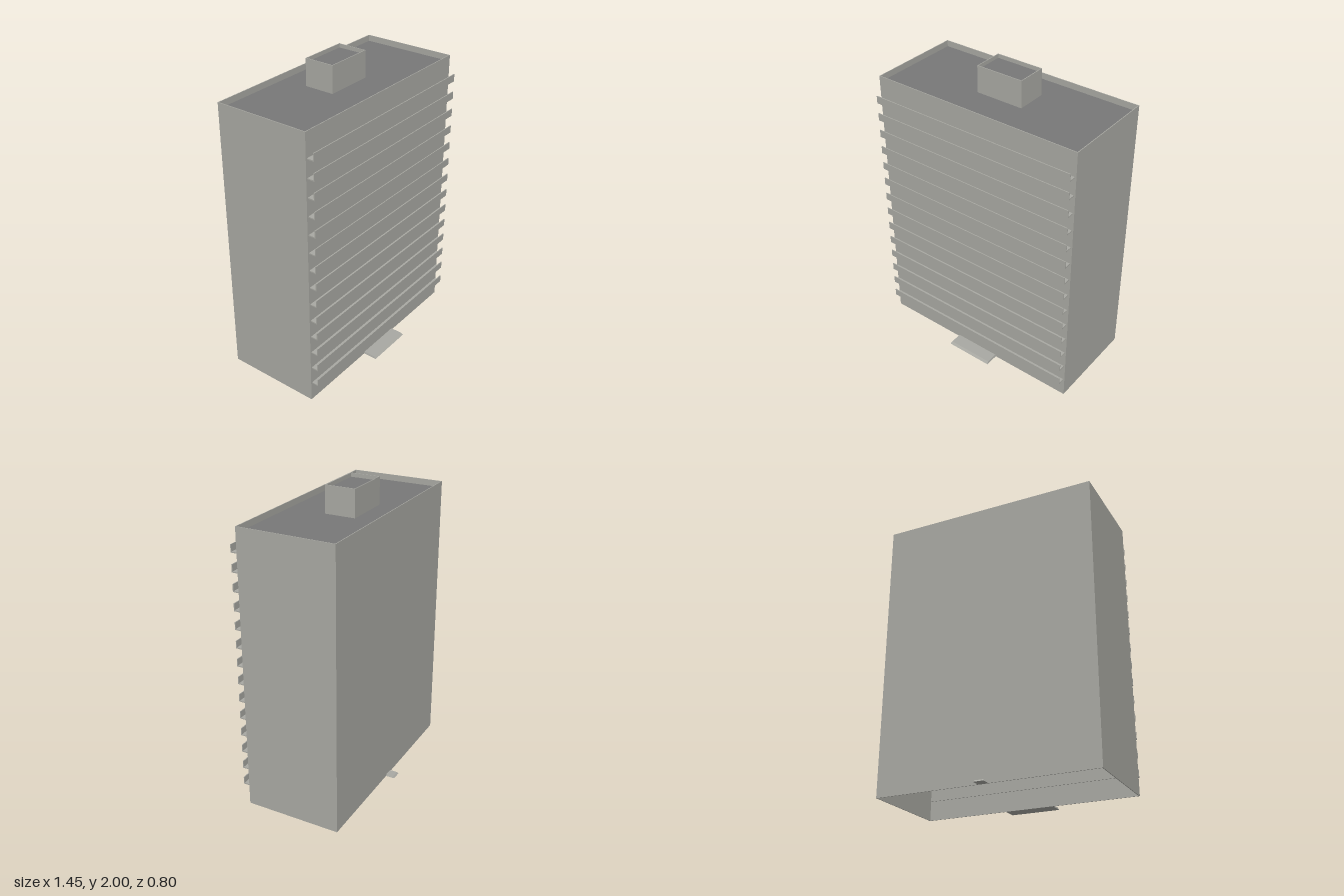
import * as THREE from 'three';

const wall = new THREE.MeshStandardMaterial({ color: 0xa8a8a2 });
wall.name = 'concrete grey';
const roofing = new THREE.MeshStandardMaterial({ color: 0x787878 });
roofing.name = 'roof dark grey';

function add(parent, name, geometry, material) {
  const mesh = new THREE.Mesh(geometry, material);
  mesh.name = name;
  parent.add(mesh);
}

// Box given by its minimum and maximum corners
function block(x0, x1, y0, y1, z0, z1) {
  return new THREE.BoxGeometry(x1 - x0, y1 - y0, z1 - z0)
    .translate((x0 + x1) / 2, (y0 + y1) / 2, (z0 + z1) / 2);
}

// Thin rectangular ring of walls, open above and below
function shell(halfX, z0, z1, y0, y1, t) {
  const rect = (C, i) => new C().moveTo(-halfX + i, -z1 + i).lineTo(halfX - i, -z1 + i)
    .lineTo(halfX - i, -z0 - i).lineTo(-halfX + i, -z0 - i).closePath();
  const shape = rect(THREE.Shape, 0);
  shape.holes.push(rect(THREE.Path, t));
  return new THREE.ExtrudeGeometry(shape, { depth: y1 - y0, bevelEnabled: false })
    .rotateX(-Math.PI / 2).translate(0, y0, 0);
}

// Slab whose top edge is drawn in at the sides and the outer end
function step(halfX, zIn, zOut, height, insetX, insetZ) {
  const g = block(-halfX, halfX, 0, height, Math.min(zIn, zOut), Math.max(zIn, zOut));
  const p = g.attributes.position;
  for (let i = 0; i < p.count; i++) {
    if (p.getY(i) < height / 2) continue;
    p.setX(i, p.getX(i) - Math.sign(p.getX(i)) * insetX);
    if (Math.abs(p.getZ(i) - zOut) < 1e-4) p.setZ(i, zOut - Math.sign(zOut) * insetZ);
  }
  g.computeVertexNormals();
  return g;
}

export function createModel() {
  const model = new THREE.Group();
  model.name = 'apartmentBlock';
  const X = 0.723, BACK = -0.337, FRONT = 0.303, T = 0.005;

  // Hollow main body with a roof sunk behind the parapet
  add(model, 'outerWalls', shell(X, BACK, FRONT, 0, 1.863, T), wall);
  add(model, 'mainRoof', block(-X + T, X - T, 1.815, 1.823, BACK + T, FRONT - T), roofing);

  // Rooftop housing
  add(model, 'roofHousingWalls', shell(0.162, -0.156, 0.045, 1.823, 2, T), wall);
  add(model, 'roofHousingTop', block(-0.157, 0.157, 1.967, 1.975, -0.151, 0.04), roofing);

  // Fourteen full-width balconies, each a floor slab and a front panel
  for (let i = 0; i < 14; i++) {
    const y = 0.127 + i * 0.1208;
    const balcony = new THREE.Group();
    balcony.name = 'balcony' + (i + 1);
    add(balcony, 'balconyFloor', block(-0.713, 0.713, y, y + 0.007, FRONT - 0.01, 0.345), wall);
    add(balcony, 'balconyPanel', block(-0.713, 0.713, y, y + 0.05, 0.345, 0.351), wall);
    model.add(balcony);
  }

  // Entrance steps
  add(model, 'frontStep', step(0.163, FRONT, 0.398, 0.013, 0.004, 0.014), wall);
  add(model, 'backStep', step(0.034, BACK, -0.398, 0.011, 0.005, 0.01), wall);
  return model;
}
